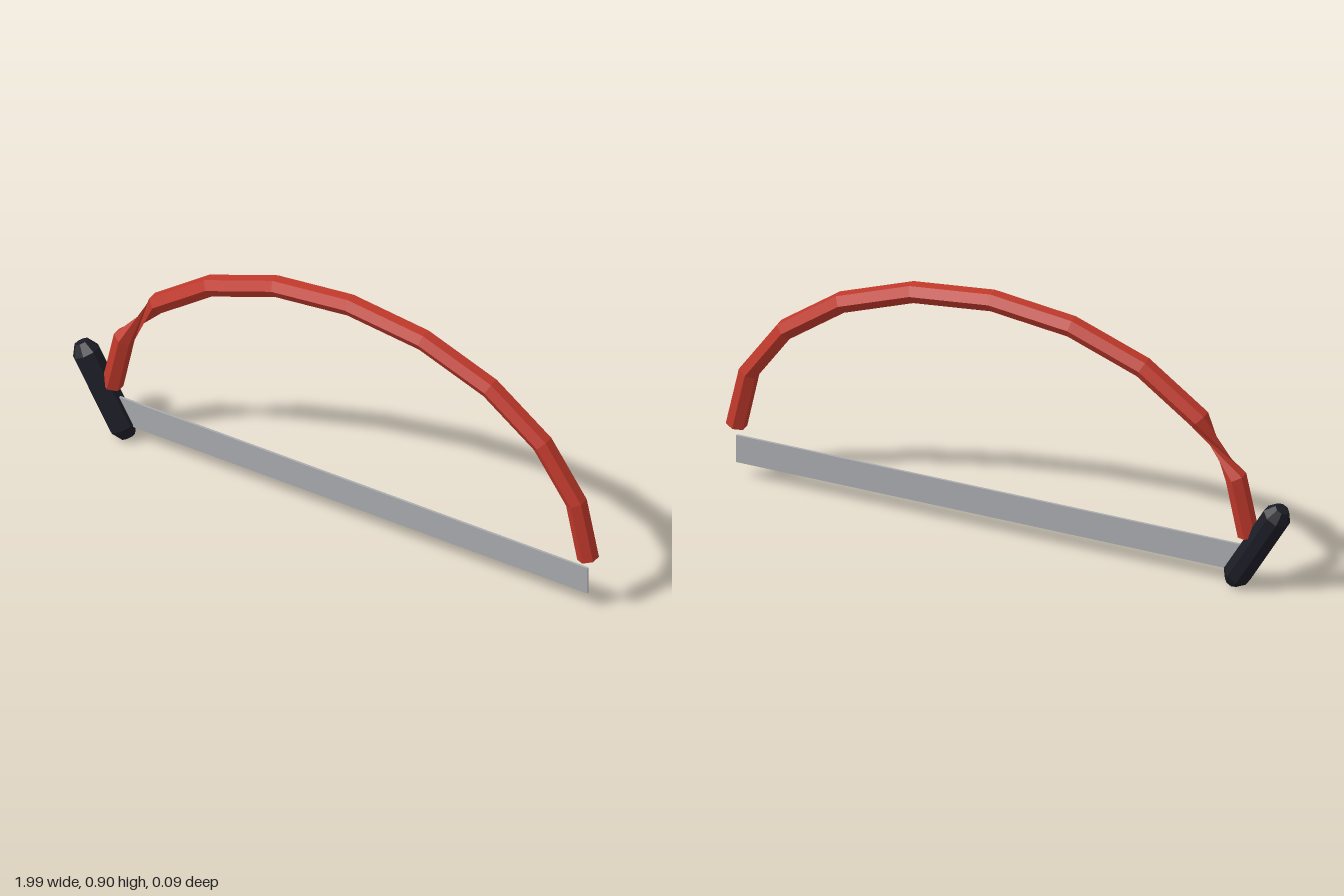
import * as THREE from 'three';

const frameRed = new THREE.MeshStandardMaterial({ name: 'frame red', color: 0xc0392b, flatShading: true });
const gripBlack = new THREE.MeshStandardMaterial({ name: 'grip black', color: 0x1c1c26, flatShading: true });
const bladeSteel = new THREE.MeshStandardMaterial({ name: 'blade steel', color: 0xaaacb0, flatShading: true });

const CENTRE_X = 0.055, HALF_SPAN = 0.91, RISE = 0.67, BASE_Y = 0.2;

// Hexagonal bar swept along a half ellipse, with a half turn in its second segment
function bowGeometry(segments, sides, radius) {
  const path = [];
  for (let i = 0; i <= segments; i++) {
    const a = Math.PI * (1 - i / segments);
    path.push(new THREE.Vector3(CENTRE_X + HALF_SPAN * Math.cos(a), BASE_Y + RISE * Math.sin(a), 0));
  }
  const positions = [];
  path.forEach((p, i) => {
    const tangent = path[Math.min(i + 1, segments)].clone().sub(path[Math.max(i - 1, 0)]).normalize();
    const normal = new THREE.Vector3(-tangent.y, tangent.x, 0);
    const twist = i < 2 ? Math.PI : 0;
    for (let k = 0; k < sides; k++) {
      const a = (k / sides) * Math.PI * 2 + twist;
      const v = p.clone().addScaledVector(normal, radius * Math.sin(a));
      positions.push(v.x, v.y, radius * Math.cos(a));
    }
  });
  const index = [];
  for (let i = 0; i < segments; i++) {
    for (let k = 0; k < sides; k++) {
      const a = i * sides + k, b = i * sides + (k + 1) % sides;
      index.push(a, a + sides, b, b, a + sides, b + sides);
    }
  }
  // End caps
  const last = segments * sides;
  for (let k = 1; k < sides - 1; k++) {
    index.push(0, k, k + 1, last, last + k + 1, last + k);
  }
  const geometry = new THREE.BufferGeometry();
  geometry.setAttribute('position', new THREE.Float32BufferAttribute(positions, 3));
  geometry.setIndex(index);
  const flat = geometry.toNonIndexed();
  flat.computeVertexNormals();
  return flat;
}

function addMesh(group, name, geometry, material) {
  const mesh = new THREE.Mesh(geometry, material);
  mesh.name = name;
  group.add(mesh);
  return mesh;
}

export function createModel() {
  const saw = new THREE.Group();
  saw.name = 'bowSaw';

  // Curved frame
  const frame = addMesh(saw, 'bowFrame', bowGeometry(10, 6, 0.036), frameRed);
  frame.material.side = THREE.DoubleSide;

  // Straight blade between the frame ends
  const blade = addMesh(saw, 'blade', new THREE.BoxGeometry(2 * HALF_SPAN, 0.1, 0.008), bladeSteel);
  blade.position.set(CENTRE_X, 0.11, 0);

  // Tilted eight-sided grip with chamfered ends
  const profile = [[0, -0.18], [0.025, -0.18], [0.0487, -0.142], [0.0487, 0.142], [0.025, 0.18], [0, 0.18]]
    .map(([x, y]) => new THREE.Vector2(x, y));
  const grip = addMesh(saw, 'handle', new THREE.LatheGeometry(profile, 8, Math.PI / 8), gripBlack);
  grip.position.set(-0.885, 0.169, 0);
  grip.rotation.z = Math.PI / 6;

  return saw;
}
